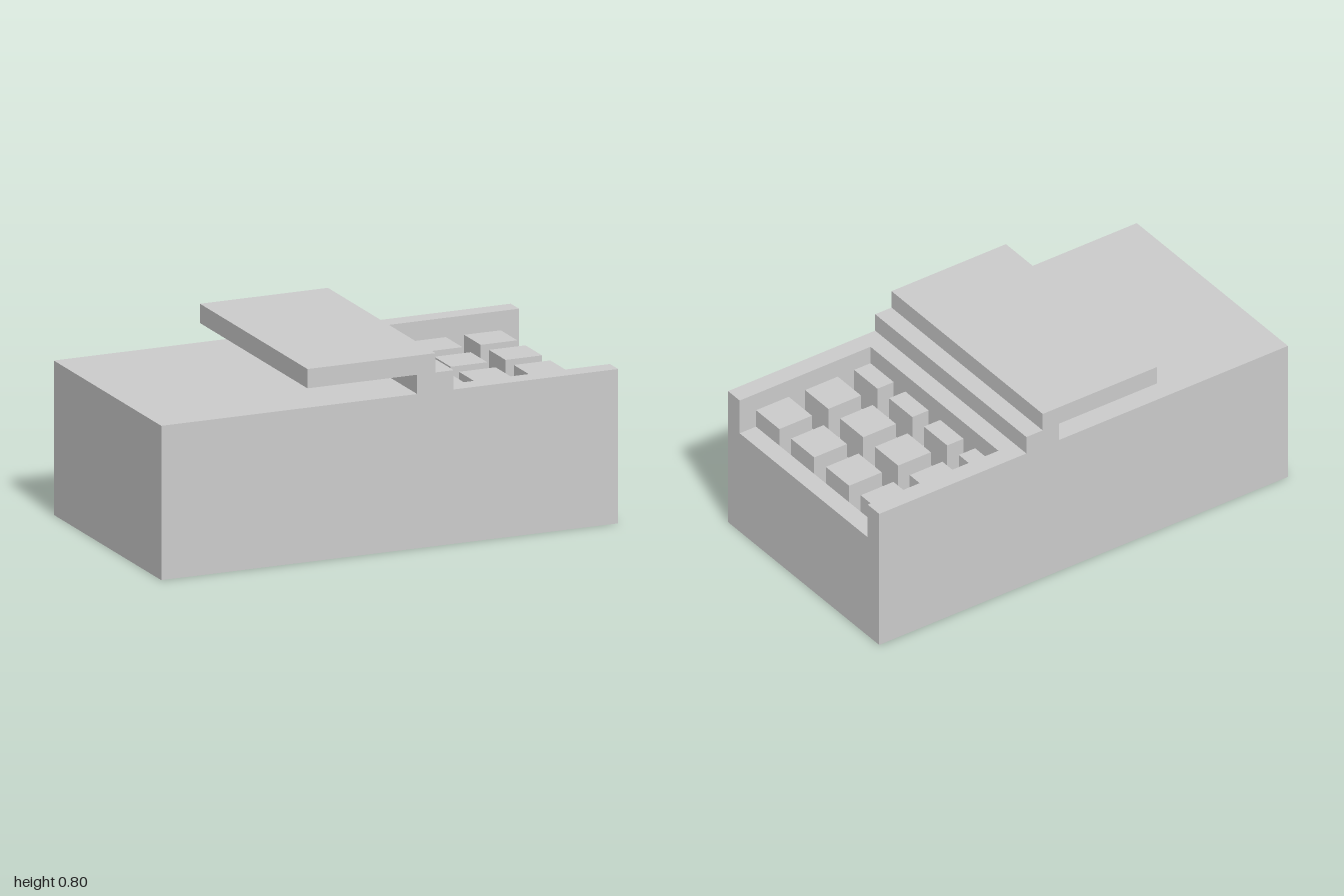
import * as THREE from 'three';

const mat = new THREE.MeshStandardMaterial({ color: 0xcccccc, flatShading: true });

// Extrudes an outline centred along its depth
function extrude(name, points, depth) {
  const shape = new THREE.Shape(points.map(([x, y]) => new THREE.Vector2(x, y)));
  const geo = new THREE.ExtrudeGeometry(shape, { depth, bevelEnabled: false });
  geo.translate(0, 0, -depth / 2);
  const mesh = new THREE.Mesh(geo, mat);
  mesh.name = name;
  return mesh;
}

// Box given by its minimum and maximum corners
function box(name, [x0, y0, z0], [x1, y1, z1]) {
  const mesh = new THREE.Mesh(new THREE.BoxGeometry(x1 - x0, y1 - y0, z1 - z0), mat);
  mesh.position.set((x0 + x1) / 2, (y0 + y1) / 2, (z0 + z1) / 2);
  mesh.name = name;
  return mesh;
}

export function createModel() {
  const group = new THREE.Group();
  group.name = 'keyedBlock';

  const halfDepth = 0.52, trayHalf = 0.44, trayStart = 0.36;
  const top = 0.64, lipTop = 0.48, floor = 0.4, keyTop = 0.56;

  // Solid block with the overhanging plate and the step beside it
  group.add(extrude('bodyWithOverhang', [
    [-1, 0], [trayStart, 0], [trayStart, top], [0.28, top], [0.28, 0.72], [0.2, 0.72],
    [0.2, 0.8], [-0.36, 0.8], [-0.36, 0.72], [0.12, 0.72], [0.12, top], [-1, top],
  ], halfDepth * 2));

  // Tray with two side walls, open at the end
  const tray = extrude('tray', [
    [-halfDepth, 0], [halfDepth, 0], [halfDepth, top], [trayHalf, top],
    [trayHalf, floor], [-trayHalf, floor], [-trayHalf, top], [-halfDepth, top],
  ], 1 - trayStart);
  tray.rotation.y = Math.PI / 2;
  tray.position.x = (1 + trayStart) / 2;
  group.add(tray);

  // Low lip closing the end of the tray
  group.add(box('trayLip', [0.92, floor, -trayHalf], [1, lipTop, trayHalf]));

  // Keys; the innermost column is half covered by the block
  const keys = new THREE.Group();
  keys.name = 'keys';
  for (const [x0, x1] of [[0.36, 0.44], [0.52, 0.68], [0.76, 0.92]]) {
    for (let row = 0; row < 4; row++) {
      const z0 = -trayHalf + row * 0.24;
      keys.add(box('key', [x0, floor, z0], [x1, keyTop, z0 + 0.16]));
    }
  }
  group.add(keys);
  return group;
}
